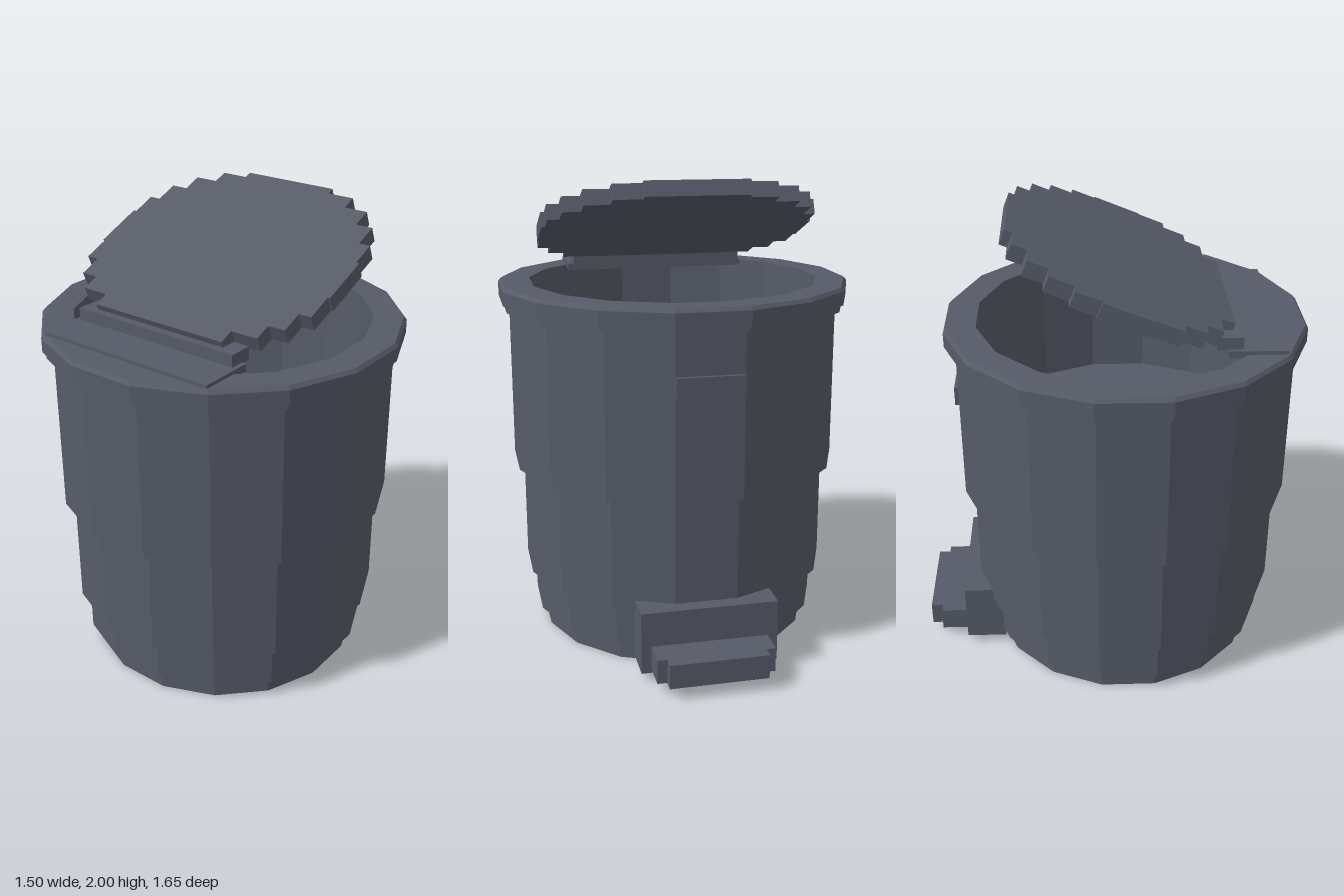
import * as THREE from 'three';

const CZ = 0.073; // centre of the round body along z
const SIDES = 16;

export function createModel() {
  const model = new THREE.Group();
  const grey = new THREE.MeshStandardMaterial({ color: 0x565b67 });
  grey.name = 'slate grey';

  const add = (name, geometry, x = 0, y = 0, z = 0) => {
    const flat = geometry.index ? geometry.toNonIndexed() : geometry;
    flat.computeVertexNormals(); // faceted look
    const mesh = new THREE.Mesh(flat, grey);
    mesh.name = name;
    mesh.position.set(x, y, z);
    model.add(mesh);
    return mesh;
  };

  // Box given by its half width and its y and z limits
  const block = (name, halfW, y0, y1, z0, z1) =>
    add(name, new THREE.BoxGeometry(halfW * 2, y1 - y0, z1 - z0), 0, (y0 + y1) / 2, (z0 + z1) / 2);

  // Faceted ring wall: profile of [distance to flat side, height]
  const turned = (name, profile) => {
    const k = 1 / Math.cos(Math.PI / SIDES);
    const points = profile.map(([r, y]) => new THREE.Vector2(r * k, y));
    return add(name, new THREE.LatheGeometry(points, SIDES, Math.PI / SIDES), 0, 0, CZ);
  };

  // Stepped can, collar, flat rim and hollow inside
  turned('body', [
    [0, 0], [0.59, 0], [0.59, 0.08],
    [0.627, 0.08], [0.627, 0.263],
    [0.665, 0.263], [0.665, 0.75],
    [0.706, 0.75], [0.706, 1.44],
  ]);
  turned('rim', [
    [0.706, 1.44], [0.735, 1.44], [0.735, 1.47],
    [0.75, 1.47], [0.75, 1.53], [0.738, 1.545], [0.617, 1.545],
  ]);
  turned('innerBucket', [[0.617, 1.545], [0.617, 0.98], [0, 0.98]]);

  // Hinge on the front of the rim
  block('hingePlate', 0.41, 1.53, 1.56, 0.46, 0.697);
  block('hingeBlock', 0.39, 1.555, 1.61, 0.415, 0.52);

  // Open lid: stepped oval as [half width, start, end] along the slope
  const rows = [
    [0.32, 0, 0.065], [0.44, 0.065, 0.14], [0.515, 0.14, 0.238], [0.57, 0.238, 0.356],
    [0.58, 0.356, 0.572], [0.565, 0.572, 0.68], [0.515, 0.68, 0.783],
    [0.44, 0.783, 0.869], [0.335, 0.869, 0.934], [0.215, 0.934, 0.967],
  ];
  const right = rows.flatMap(([w, a, b]) => [new THREE.Vector2(w, a), new THREE.Vector2(w, b)]);
  const left = right.map((p) => new THREE.Vector2(-p.x, p.y)).reverse();
  const lid = add('lid', new THREE.ExtrudeGeometry(new THREE.Shape([...right, ...left]),
    { depth: 0.065, bevelEnabled: false }), 0, 1.575, 0.47);
  lid.rotation.x = THREE.MathUtils.degToRad(22.1) - Math.PI / 2;

  // Foot pedal and its housing at the back
  block('pedalHousing', 0.287, 0.04, 0.305, -0.657, -0.48);
  block('pedalArm', 0.245, 0.055, 0.157, -0.775, -0.65);
  block('pedalTip', 0.205, 0.055, 0.157, -0.826, -0.77);

  // Small raised tab high on the back
  block('backTab', 0.14, 1.19, 1.272, -0.65, -0.62);

  return model;
}
